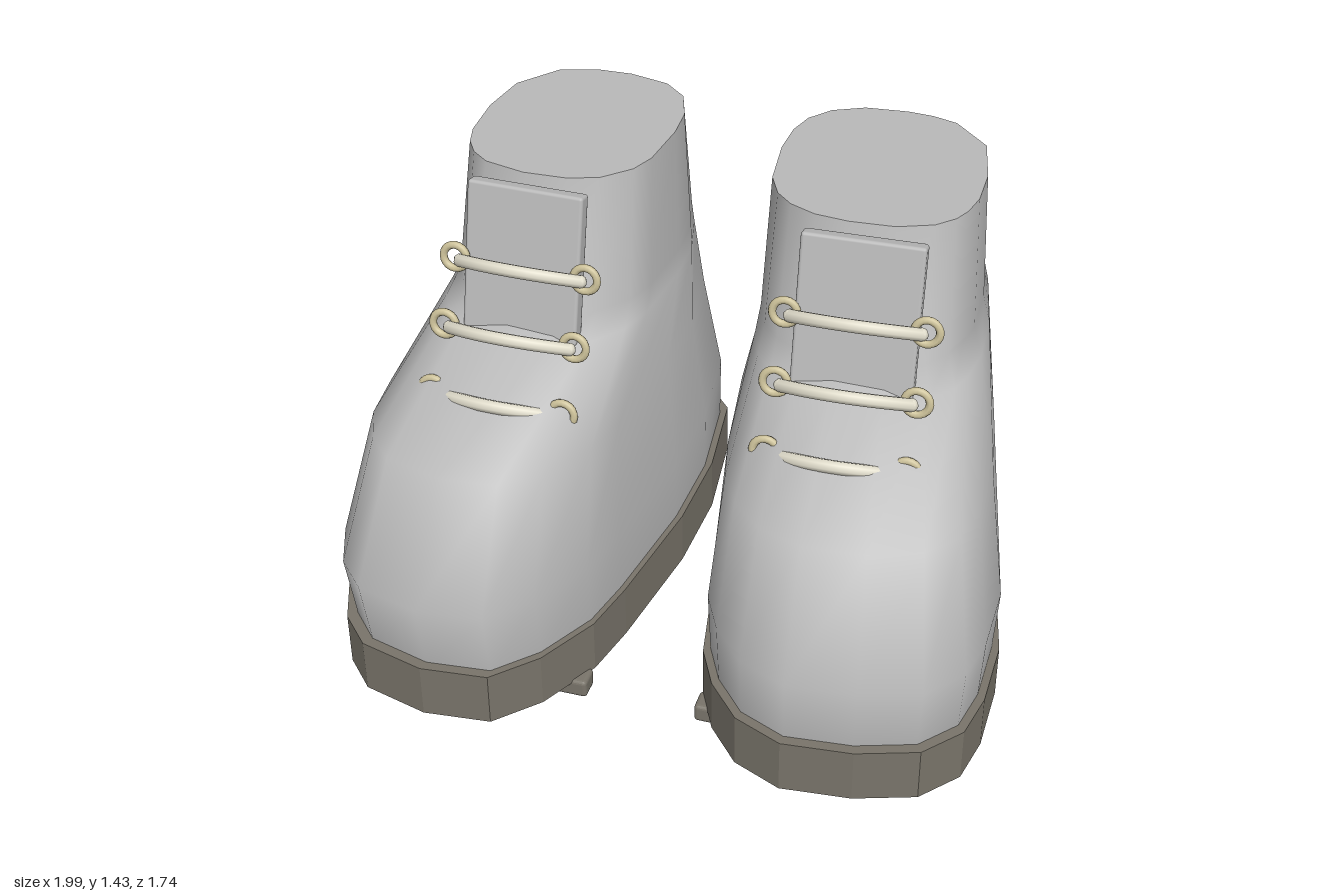
import * as THREE from 'three';
import { RoundedBoxGeometry } from 'three/addons/geometries/RoundedBoxGeometry.js';

// Sole outlines (x, z), clockwise seen from above
const RIGHT_SOLE = [[-.465, -.87], [-.26, -.82], [-.13, -.67], [-.09, -.35], [-.1, -.05], [-.16, .35],
  [-.2, .53], [-.3, .72], [-.42, .845], [-.625, .865], [-.83, .81], [-.925, .71], [-.985, .56],
  [-1, .35], [-.98, -.05], [-.905, -.4], [-.785, -.705], [-.63, -.845]];
const LEFT_SOLE = [[.5, -.87], [.295, -.845], [.135, -.75], [.03, -.59], [.01, -.35], [.04, -.05],
  [.11, .35], [.15, .55], [.215, .68], [.32, .8], [.47, .865], [.68, .845], [.86, .785], [.96, .67],
  [.99, .52], [.99, .29], [.915, -.05], [.81, -.375], [.705, -.67], [.615, -.8]].reverse();

// Upper levels: y, z back, z front, blend from sole shape to ankle shape
const LEVELS = [[.2, -.83, .83, 0], [.44, -.83, .86, 0], [.785, -.75, .67, .2],
  [.985, -.742, .22, .7], [1.045, -.74, .13, .8], [1.435, -.69, .005, .85]];
// x range of each level
const RIGHT_X = [[-.97, -.11], [-.99, -.105], [-.935, -.145], [-.85, -.18], [-.83, -.19], [-.81, -.21]];
const LEFT_X = [[.035, .965], [.03, .98], [.065, .915], [.1, .81], [.107, .775], [.118, .75]];

// Closed solid through stacked rings, with flat end caps
function loft(rings) {
  const n = rings[0].length, pos = [], idx = [];
  rings.forEach(r => r.forEach(p => pos.push(...p)));
  for (let k = 0; k < rings.length - 1; k++)
    for (let i = 0; i < n; i++) {
      const a = k * n + i, b = k * n + (i + 1) % n;
      idx.push(a, a + n, b, b, a + n, b + n);
    }
  for (const [ring, top] of [[rings[0], false], [rings[rings.length - 1], true]]) {
    const s = pos.length / 3;
    ring.forEach(p => pos.push(...p));
    for (let i = 1; i < n - 1; i++) top ? idx.push(s, s + i + 1, s + i) : idx.push(s, s + i, s + i + 1);
  }
  const g = new THREE.BufferGeometry();
  g.setAttribute('position', new THREE.Float32BufferAttribute(pos, 3));
  g.setIndex(idx);
  g.computeVertexNormals();
  return g;
}

// Outline normalised to -1..1 in both directions
function normalise(outline) {
  const range = k => {
    const v = outline.map(p => p[k]);
    return [Math.min(...v), Math.max(...v)];
  };
  const [x0, x1] = range(0), [z0, z1] = range(1);
  return outline.map(([x, z]) => [(2 * x - x0 - x1) / (x1 - x0), (2 * z - z0 - z1) / (z1 - z0)]);
}

function upperGeometry(outline, widths) {
  const unit = normalise(outline), e = 2.7;
  return loft(LEVELS.map(([y, zb, zf, t], k) => {
    const [x0, x1] = widths[k];
    return unit.map(([u, v]) => {
      const a = Math.atan2(v, u), c = Math.cos(a), s = Math.sin(a);
      const r = Math.pow(Math.abs(c) ** e + Math.abs(s) ** e, -1 / e);
      const px = u + (r * c - u) * t, pz = v + (r * s - v) * t;
      return [(x0 + x1) / 2 + px * (x1 - x0) / 2, y, (zb + zf) / 2 + pz * (zf - zb) / 2];
    });
  }));
}

export function createModel() {
  const mat = (name, color) => {
    const m = new THREE.MeshStandardMaterial({ color });
    m.name = name;
    return m;
  };
  const leather = mat('grey leather', 0xb9b9b9);
  const rubber = mat('brown grey rubber', 0x79746a);
  const cord = mat('cream cord', 0xe0dccb);
  const brass = mat('pale brass', 0xcdc29a);
  rubber.flatShading = true;

  const add = (parent, name, geometry, material, x = 0, y = 0, z = 0) => {
    const m = new THREE.Mesh(geometry, material);
    m.name = name;
    m.position.set(x, y, z);
    parent.add(m);
    return m;
  };

  function boot(name, outline, widths, frontX, treadX, turn) {
    const g = new THREE.Group();
    g.name = name;
    add(g, 'sole', loft([.05, .225].map(y => outline.map(([x, z]) => [x, y, z]))).toNonIndexed(), rubber);
    g.children[0].geometry.computeVertexNormals();
    add(g, 'upper', upperGeometry(outline, widths), leather);

    // Tread bars
    for (const z of [.58, .222, -.135, -.49])
      add(g, 'treadBar', new RoundedBoxGeometry(.66, .06, .075, 2, .012), rubber, treadX, .03, z);

    // Tongue and lacing share a slight turn
    const front = new THREE.Group();
    front.name = 'lacing';
    front.position.x = frontX;
    front.rotation.y = turn;
    g.add(front);
    const tongue = add(front, 'tongue', new RoundedBoxGeometry(.36, .46, .052, 2, .01), leather, 0, 1.2, .112);
    tongue.rotation.x = -.22;

    // Rows: eyelet height, depth
    for (const [y, z] of [[1.2, .152], [1.03, .257], [.866, .368]]) {
      for (const s of [-1, 1]) {
        const ring = add(front, 'eyelet', new THREE.TorusGeometry(.037, .012, 8, 20), brass, s * .205, y, z);
        ring.rotation.x = -.15;
      }
      const path = new THREE.QuadraticBezierCurve3(
        new THREE.Vector3(-.19, y - .01, z), new THREE.Vector3(0, y + .07, z + .135),
        new THREE.Vector3(.19, y - .01, z));
      add(front, 'lace', new THREE.TubeGeometry(path, 16, .02, 8), cord);
      for (const s of [-1, 1])
        add(front, 'laceEnd', new THREE.SphereGeometry(.02, 8, 6), cord, s * .19, y - .01, z);
    }
    return g;
  }

  const model = new THREE.Group();
  model.name = 'bootPair';
  model.add(boot('rightBoot', RIGHT_SOLE, RIGHT_X, -.525, -.53, -.03));
  model.add(boot('leftBoot', LEFT_SOLE, LEFT_X, .475, .47, .03));
  return model;
}
